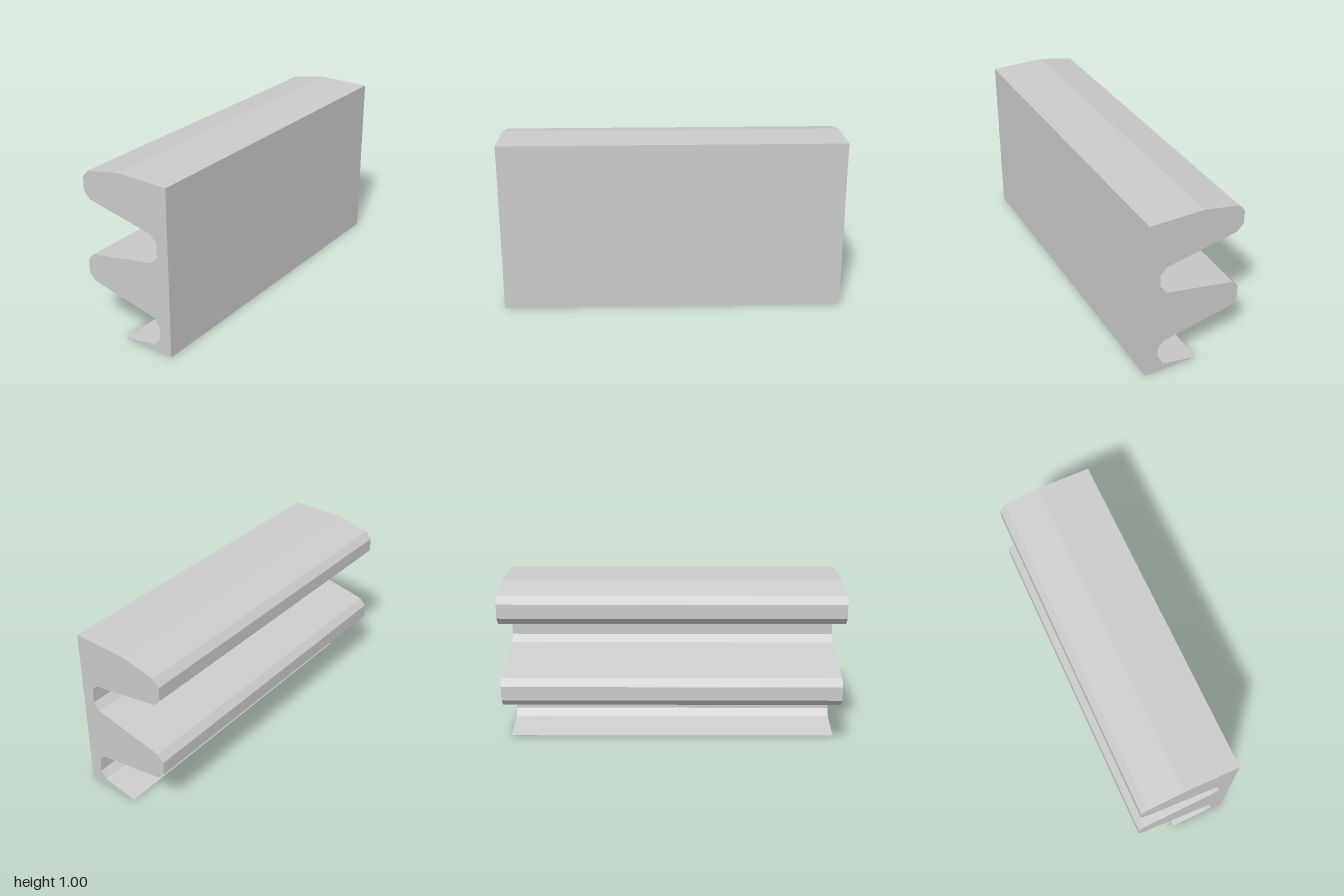
import * as THREE from 'three';

export function createModel() {
  const group = new THREE.Group();
  group.name = 'toothedRack';
  const half = 0.2875, pitch = 0.5;

  // One groove and one tooth: [distance towards the back, height]
  const toothProfile = [
    [-0.175, 0.042], [-0.2125, 0.084], [-0.2125, 0.167], [-0.175, 0.21],
    [0.25, 0.293], [half, 0.335], [half, 0.418], [0.25, 0.459],
  ];

  // Flat front plate with the tooth profile repeated up its back
  const shape = new THREE.Shape();
  shape.moveTo(-half, 0);
  shape.lineTo(0.0375, 0);
  for (let i = 0; i < 2; i++) {
    for (const [d, y] of toothProfile) shape.lineTo(d, y + i * pitch);
  }
  shape.lineTo(0.0375, 1);
  shape.lineTo(-half, 1);
  shape.closePath();

  // Extrude along the length, then turn the teeth to the back (-z)
  const geometry = new THREE.ExtrudeGeometry(shape, { depth: 2, bevelEnabled: false });
  geometry.translate(0, 0, -1);
  geometry.rotateY(Math.PI / 2);

  const rack = new THREE.Mesh(
    geometry,
    new THREE.MeshStandardMaterial({ color: 0xcccccc, flatShading: true }),
  );
  rack.name = 'rackBar';
  group.add(rack);
  return group;
}
